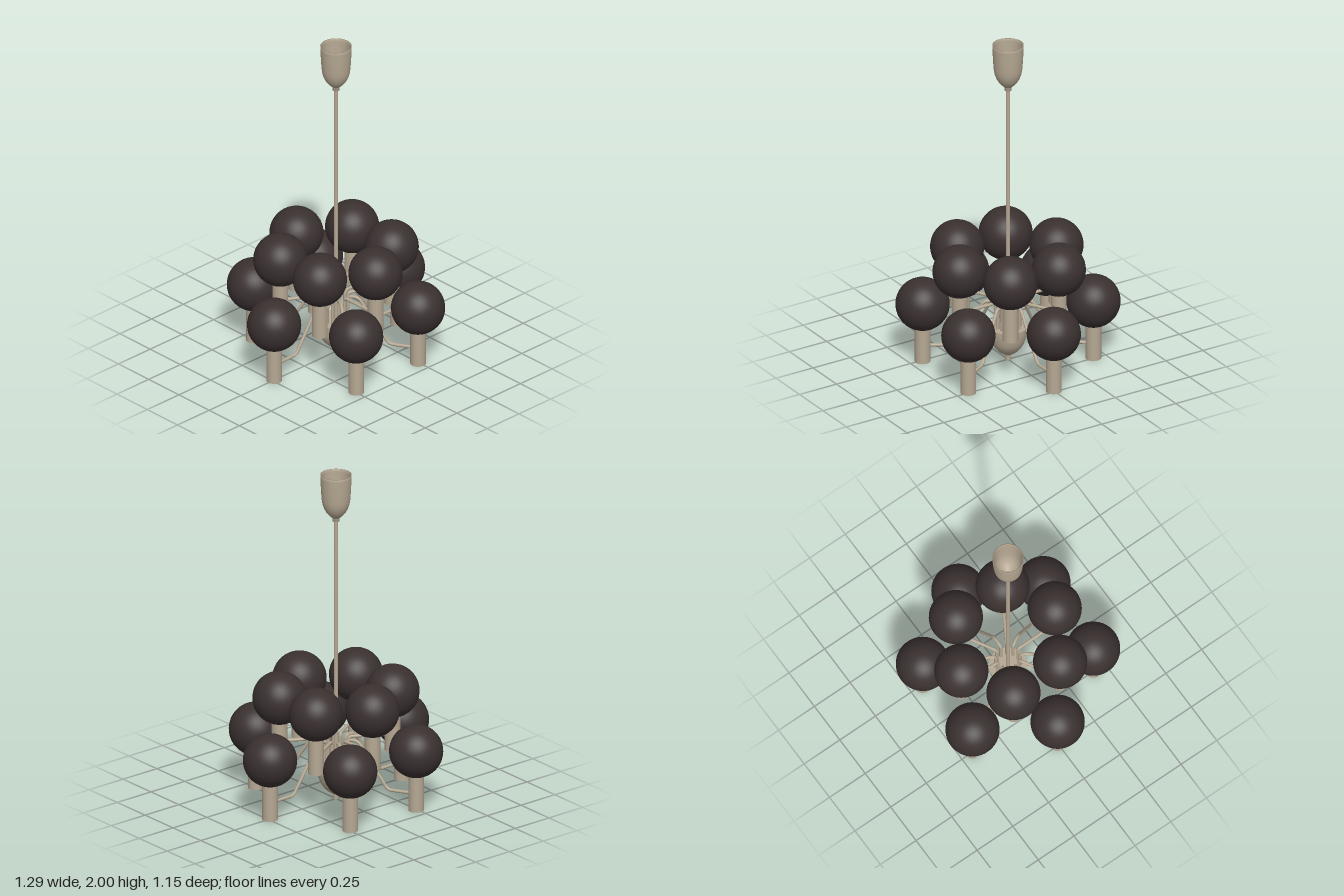
import * as THREE from 'three';

export function createModel() {
  const brass = new THREE.MeshStandardMaterial({ color: 0xb5a792 });
  brass.name = 'satin brass';
  brass.side = THREE.DoubleSide;
  const glass = new THREE.MeshStandardMaterial({ color: 0x3a3030 });
  glass.name = 'dark glass';

  const model = new THREE.Group();
  model.name = 'chandelier';
  const add = (parent, name, geometry, material, x = 0, y = 0, z = 0) => {
    const mesh = new THREE.Mesh(geometry, material);
    mesh.name = name;
    mesh.position.set(x, y, z);
    parent.add(mesh);
    return mesh;
  };
  const v2 = (pts) => pts.map(([r, y]) => new THREE.Vector2(r, y));
  // Smooth profile through a few points
  const curve = (pts) => new THREE.SplineCurve(v2(pts)).getPoints(20);

  // Open ceiling canopy with a small collar
  const canopy = [
    ...v2([[0.012, 1.715], [0.02, 1.715], [0.02, 1.735]]),
    ...curve([[0.024, 1.737], [0.055, 1.77], [0.077, 1.82], [0.085, 1.89], [0.09, 2]]),
    ...curve([[0.084, 2], [0.079, 1.89], [0.071, 1.824], [0.05, 1.778], [0.012, 1.745]]),
  ];
  add(model, 'canopy', new THREE.LatheGeometry(canopy, 40), brass);

  // Central stem
  add(model, 'stem', new THREE.CylinderGeometry(0.012, 0.012, 1.56, 16), brass, 0, 0.98, 0);

  // Hub bowl with closed lid
  const bowl = curve([[0.022, 0.04], [0.06, 0.068], [0.09, 0.11], [0.106, 0.165], [0.11, 0.215]]);
  add(model, 'hubBowl', new THREE.LatheGeometry(bowl, 40), brass);
  add(model, 'hubLid', new THREE.CylinderGeometry(0.11, 0.11, 0.004, 40), brass, 0, 0.213, 0);
  add(model, 'finial', new THREE.CylinderGeometry(0.018, 0.016, 0.045, 20), brass, 0, 0.0275, 0);

  // Bent tube: straight runs joined by rounded corners
  const bentTube = (pts) => {
    const p = pts.map(([x, y]) => new THREE.Vector3(x, y, 0));
    const path = new THREE.CurvePath();
    let start = p[0];
    for (let i = 1; i < p.length - 1; i++) {
      const before = p[i].clone().add(p[i - 1].clone().sub(p[i]).setLength(0.025));
      const after = p[i].clone().add(p[i + 1].clone().sub(p[i]).setLength(0.025));
      path.add(new THREE.LineCurve3(start, before));
      path.add(new THREE.QuadraticBezierCurve3(before, p[i], after));
      start = after;
    }
    path.add(new THREE.LineCurve3(start, p[p.length - 1]));
    return new THREE.TubeGeometry(path, 64, 0.0095, 10);
  };
  const lowerArm = bentTube([[0.07, 0.2], [0.07, 0.378], [0.135, 0.378], [0.315, 0.105], [0.47, 0.105]]);
  const upperArm = bentTube([[0.07, 0.2], [0.07, 0.383], [0.31, 0.383]]);
  const cup = new THREE.CylinderGeometry(0.045, 0.045, 0.22, 28);
  const globe = new THREE.SphereGeometry(0.155, 40, 28);

  // Two staggered rings of six lights
  const rings = [
    { name: 'lower', radius: 0.488, base: 0.005, turn: 0, arm: lowerArm },
    { name: 'upper', radius: 0.327, base: 0.286, turn: Math.PI / 6, arm: upperArm },
  ];
  for (const { name, radius, base, turn, arm } of rings) {
    for (let i = 0; i < 6; i++) {
      const light = new THREE.Group();
      light.name = name + 'Light' + (i + 1);
      light.rotation.y = turn + (i * Math.PI) / 3;
      add(light, 'arm', arm, brass);
      add(light, 'lampHolder', cup, brass, radius, base + 0.11, 0);
      add(light, 'globe', globe, glass, radius, base + 0.362, 0);
      model.add(light);
    }
  }
  return model;
}
